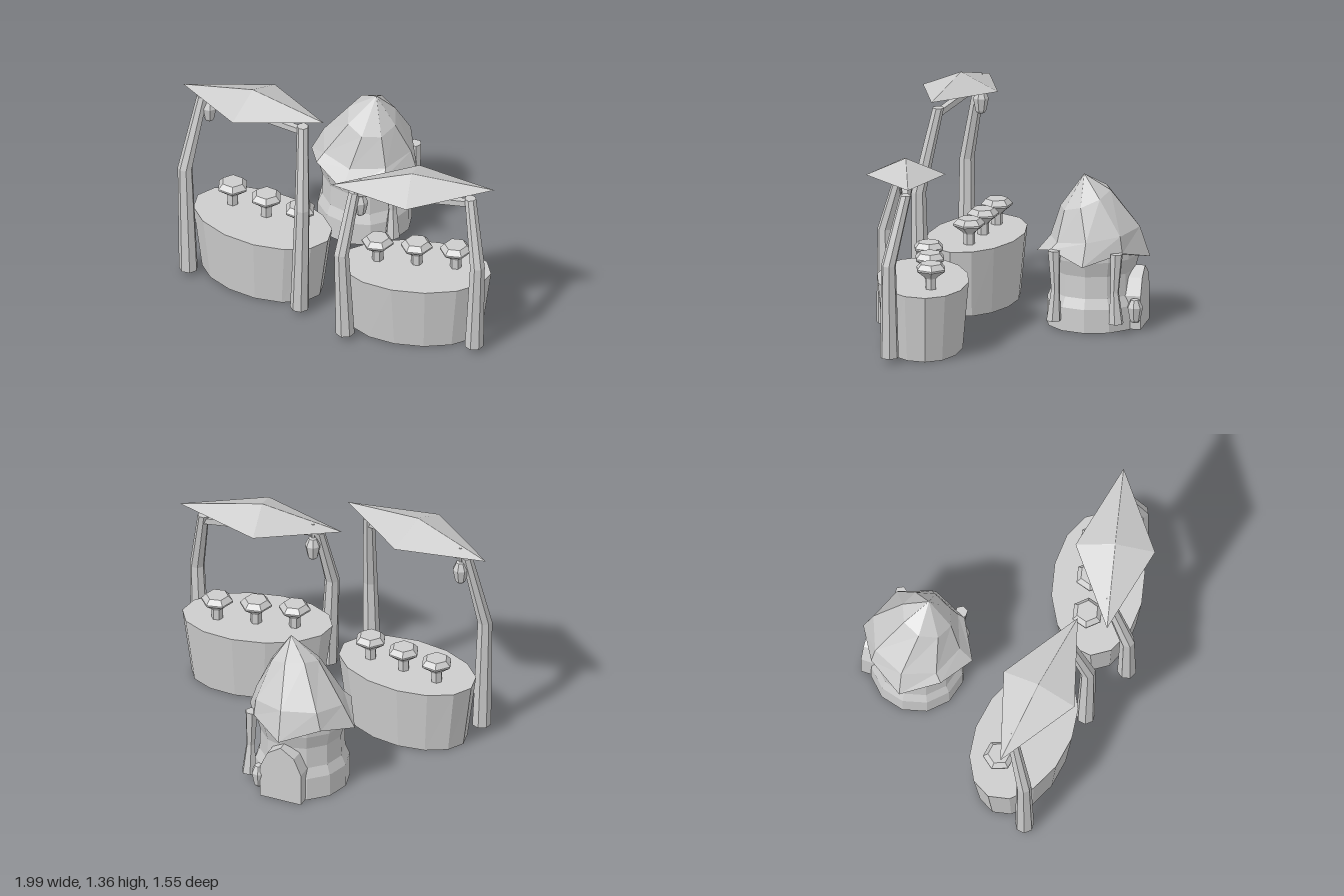
import * as THREE from 'three';

const clay = new THREE.MeshStandardMaterial({ color: 0xcccccc, flatShading: true });
clay.name = 'plain grey';

function mesh(name, geometry) {
  const m = new THREE.Mesh(geometry, clay);
  m.name = name;
  return m;
}

// One cross-section: centre, radii, slope of the plane and start angle
function ring(sides, x, y, z, rx, rz = rx, slopeX = 0, slopeZ = 0, phase = 0) {
  return Array.from({ length: sides }, (_, i) => {
    const a = phase + (i / sides) * Math.PI * 2;
    const dx = rx * Math.cos(a), dz = rz * Math.sin(a);
    return [x + dx, y + dx * slopeX + dz * slopeZ, z + dz];
  });
}

// Faceted solid through rings listed from bottom to top, with capped ends
function loft(name, rings) {
  const pos = [], n = rings[0].length;
  const tri = (...corners) => corners.forEach((p) => pos.push(...p));
  const middle = (r) => [0, 1, 2].map((k) => r.reduce((s, p) => s + p[k], 0) / n);
  const first = rings[0], last = rings[rings.length - 1];
  for (let i = 0; i < n; i++) {
    const j = (i + 1) % n;
    for (let k = 0; k + 1 < rings.length; k++) {
      const a = rings[k], b = rings[k + 1];
      tri(a[i], b[i], a[j]);
      tri(a[j], b[i], b[j]);
    }
    tri(middle(first), first[i], first[j]);
    tri(middle(last), last[j], last[i]);
  }
  const g = new THREE.BufferGeometry();
  g.setAttribute('position', new THREE.Float32BufferAttribute(pos, 3));
  g.computeVertexNormals();
  return mesh(name, g);
}

// Upright lathe-like part from [radius, height] pairs
function turned(name, sides, profile, x, y, z) {
  const m = loft(name, profile.map(([r, h]) => ring(sides, 0, h, 0, r)));
  m.position.set(x, y, z);
  return m;
}

const lantern = (x, y, z) => turned('lantern', 7,
  [[0.022, -0.07], [0.032, -0.055], [0.047, 0.02], [0.026, 0.065], [0.012, 0.07]], x, y, z);

function createStall(name, x, z, turn, top) {
  const stall = new THREE.Group();
  stall.name = name;
  stall.position.set(x, 0, z);
  stall.rotation.y = turn;

  // Oval counter, narrower at the floor
  stall.add(loft('counter', [
    ring(14, 0, 0, 0, 0.39, 0.235),
    ring(14, 0, 0.4, 0, 0.445, 0.27),
  ]));

  // Mushrooms standing on the counter
  for (const mx of [-0.23, 0, 0.23]) {
    stall.add(turned('mushroom', 6,
      [[0.034, 0], [0.034, 0.065], [0.042, 0.075], [0.094, 0.115], [0.094, 0.125], [0.066, 0.155]],
      mx, 0.398, -0.04));
  }

  // Bent legs
  const knee = 0.6 * top;
  for (const s of [-1, 1]) {
    stall.add(loft('bentLeg', [
      ring(7, s * 0.38, 0.03, 0.205, 0.056),
      ring(7, s * 0.4, knee, 0.21, 0.044),
      ring(7, s * 0.342, top + s * 0.015, 0.11, 0.034),
    ]));
  }

  // Beam between the legs
  const beam = mesh('beam', new THREE.BoxGeometry(0.68, 0.036, 0.036));
  beam.position.set(0, top - 0.018, 0.11);
  stall.add(beam);

  // Tilted canopy, four-sided above and below
  const canopy = loft('canopy', [
    ring(4, 0, -0.05, 0, 0.001),
    ring(4, 0, 0, 0, 0.483, 0.232),
    ring(4, 0, 0.096, 0, 0.001),
  ]);
  canopy.position.set(0, top + 0.044, 0.1);
  canopy.rotation.z = 0.077;
  stall.add(canopy);

  // Hanging lantern and its hook
  stall.add(lantern(-0.31, top - 0.115, 0.09));
  stall.add(turned('lanternHook', 5, [[0.012, -0.05], [0.012, 0.05]], -0.31, top, 0.09));
  return stall;
}

function createHut() {
  const hut = new THREE.Group();
  hut.name = 'hut';
  hut.position.set(-0.18, 0, -0.44);

  // Waisted wall
  hut.add(turned('wall', 12,
    [[0.278, 0], [0.275, 0.14], [0.25, 0.2], [0.245, 0.33], [0.27, 0.42], [0.27, 0.47]], 0, 0, 0));

  // Leaning roof with a scalloped eave
  const eave = ring(8, 0, 0.41, 0, 0.335).map(([x, y, z], i) =>
    i % 2 ? [x * 0.9, y + 0.065, z * 0.9] : [x, y, z]);
  hut.add(loft('roof', [
    ring(8, 0, 0.46, 0, 0.25),
    eave,
    ring(8, 0.012, 0.55, -0.012, 0.275, 0.265, -0.02, -0.15),
    ring(8, 0.06, 0.76, 0.035, 0.148, 0.148, -0.17, -0.36),
    ring(8, 0.09, 0.91, 0.037, 0.002),
  ]));

  // Posts under the eave
  for (const s of [-1, 1]) {
    hut.add(loft('eavePost', [
      ring(6, 0.255, 0.065, s * 0.185, 0.045),
      ring(6, 0.25, 0.25, s * 0.175, 0.026),
      ring(6, 0.24, 0.48, s * 0.185, 0.038),
    ]));
  }

  // Arched door block at the back
  const arch = new THREE.Shape([
    [-0.13, 0], [0.13, 0], [0.13, 0.2], [0.085, 0.3], [0, 0.355], [-0.085, 0.3], [-0.13, 0.2],
  ].map(([x, y]) => new THREE.Vector2(x, y)));
  const door = mesh('door', new THREE.ExtrudeGeometry(arch, { depth: 0.12, bevelEnabled: false }));
  door.position.set(0, 0, -0.305);
  hut.add(door);

  // Lantern beside the door
  hut.add(lantern(0.15, 0.12, -0.275));
  return hut;
}

export function createModel() {
  const model = new THREE.Group();
  model.name = 'marketStallsAndHut';
  model.add(
    createStall('tallStall', -0.5, 0.32, -0.155, 1.22),
    createStall('shortStall', 0.51, 0.43, 0.23, 0.98),
    createHut(),
  );
  return model;
}
